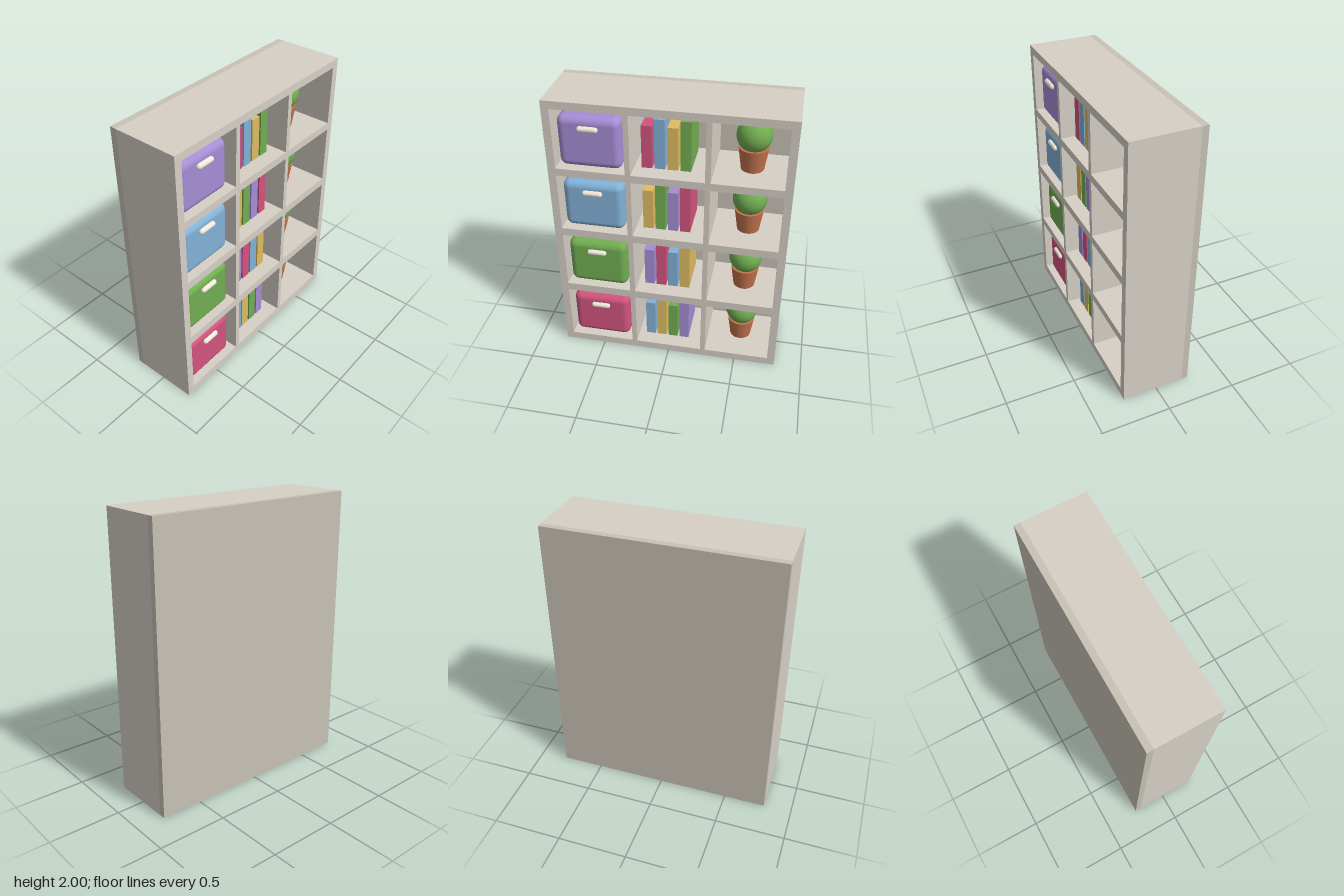
import * as THREE from 'three';
import { RoundedBoxGeometry } from 'three/addons/geometries/RoundedBoxGeometry.js';

const paint = (color) => new THREE.MeshStandardMaterial({ color });

const frameMat = paint(0xd6d0c6);
const backMat = paint(0xc8c2b6);
const potMat = paint(0xc4734c);
const plantMat = paint(0x72ad52);
const handleMat = paint(0xefe9dd);
const purple = paint(0xa58dd4);
const blue = paint(0x82b2d8);
const green = paint(0x72ad52);
const red = paint(0xd2547e);
const yellow = paint(0xdfbc62);

// Openings: [left, right] per column and [floor, ceiling] per row
const COLUMNS = [[-0.747, -0.279], [-0.243, 0.243], [0.279, 0.747]];
const ROWS = [[0.058, 0.492], [0.552, 0.987], [1.045, 1.468], [1.522, 1.946]];
const SIDE_X = 0.52;

// Bin colour and book colours of each row, bottom to top
const BIN_COLORS = [red, green, blue, purple];
const BOOK_COLORS = [
  [blue, yellow, green, purple],
  [purple, red, blue, yellow],
  [yellow, green, purple, red],
  [red, blue, yellow, green],
];

function part(parent, name, geometry, material, x = 0, y = 0, z = 0) {
  const mesh = new THREE.Mesh(geometry, material);
  mesh.name = name;
  mesh.position.set(x, y, z);
  parent.add(mesh);
  return mesh;
}

function rectangle(path, x0, x1, y0, y1) {
  path.moveTo(x0, y0);
  path.lineTo(x1, y0);
  path.lineTo(x1, y1);
  path.lineTo(x0, y1);
  path.closePath();
  return path;
}

// Shelf grid cut through by the openings
function frameGeometry() {
  const shape = rectangle(new THREE.Shape(), -0.8, 0.8, 0, 2);
  for (const [x0, x1] of COLUMNS) {
    for (const [y0, y1] of ROWS) {
      shape.holes.push(rectangle(new THREE.Path(), x0, x1, y0, y1));
    }
  }
  return new THREE.ExtrudeGeometry(shape, { depth: 0.455, bevelEnabled: false });
}

// Soft-edged storage bin with a rounded pull
function createBin(material) {
  const bin = new THREE.Group();
  bin.name = 'storageBin';
  part(bin, 'binBody', new RoundedBoxGeometry(0.42, 0.36, 0.38, 5, 0.05), material, 0, 0.18, 0.02);
  const handle = part(bin, 'binHandle', new THREE.CapsuleGeometry(0.02, 0.1, 6, 16), handleMat, 0, 0.285, 0.215);
  handle.rotation.z = Math.PI / 2;
  return bin;
}

// Four upright books, alternating short and tall
function createBooks(materials) {
  const books = new THREE.Group();
  books.name = 'bookRow';
  materials.forEach((material, i) => {
    const height = i % 2 ? 0.35 : 0.3;
    part(books, 'book', new THREE.BoxGeometry(0.07, height, 0.3), material,
      -0.15 + i * 0.085, 0.022 + height / 2, 0.015);
  });
  return books;
}

// Round plant in a tapered pot
function createPlant() {
  const plant = new THREE.Group();
  plant.name = 'pottedPlant';
  part(plant, 'pot', new THREE.CylinderGeometry(0.1, 0.077, 0.16, 24), potMat, 0, 0.08, 0);
  part(plant, 'foliage', new THREE.SphereGeometry(0.117, 28, 20), plantMat, 0, 0.244, 0);
  return plant;
}

export function createModel() {
  const model = new THREE.Group();
  model.name = 'bookcase';

  part(model, 'shelfFrame', frameGeometry(), frameMat, 0, 0, -0.205);
  part(model, 'backPanel', new THREE.BoxGeometry(1.6, 2, 0.045), backMat, 0, 1, -0.2275);

  // Fill each row: bin, books, plant
  ROWS.forEach(([floor], i) => {
    const bin = createBin(BIN_COLORS[i]);
    bin.position.set(-SIDE_X, floor, 0);
    const books = createBooks(BOOK_COLORS[i]);
    books.position.set(0, floor, 0);
    const plant = createPlant();
    plant.position.set(SIDE_X, floor, 0);
    model.add(bin, books, plant);
  });

  return model;
}
